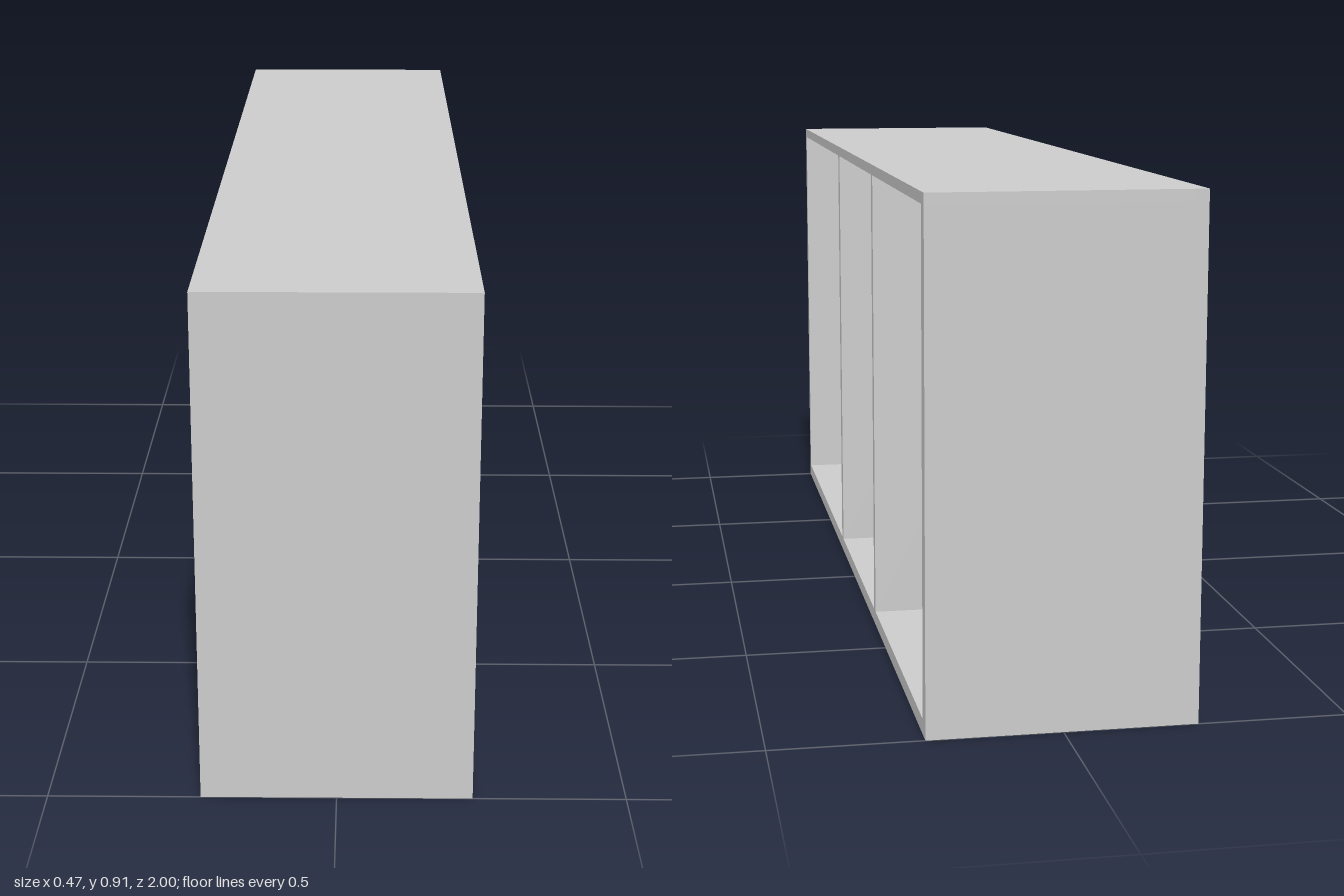
import * as THREE from 'three';

const W = 0.235;          // half width; the open side faces +x
const H = 0.91;           // overall height
const BACK = -W + 0.024;  // inner face of the back panel
const FLOOR = 0.027, CEIL = 0.89;

export function createModel() {
  const group = new THREE.Group();
  const material = new THREE.MeshStandardMaterial({ color: 0xcccccc, flatShading: true });

  // Box given by its lower and upper limits on each axis
  const panel = (name, x0, x1, y0, y1, z0, z1) => {
    const mesh = new THREE.Mesh(new THREE.BoxGeometry(x1 - x0, y1 - y0, z1 - z0), material);
    mesh.position.set((x0 + x1) / 2, (y0 + y1) / 2, (z0 + z1) / 2);
    mesh.name = name;
    group.add(mesh);
  };

  // Outer case
  panel('backPanel', -W, BACK, 0, H, -1, 1);
  panel('bottomPanel', BACK, W, 0, FLOOR, -1, 1);
  panel('topPanel', BACK, W, CEIL, H, -1, 1);

  // End walls and the two dividers that make three compartments
  const uprights = [
    ['frontEndPanel', 0.98, 1],
    ['frontDivider', 0.215, 0.24],
    ['rearDivider', -0.353, -0.332],
    ['rearEndPanel', -1, -0.97],
  ];
  for (const [name, z0, z1] of uprights) panel(name, BACK, W, FLOOR, CEIL, z0, z1);

  return group;
}
